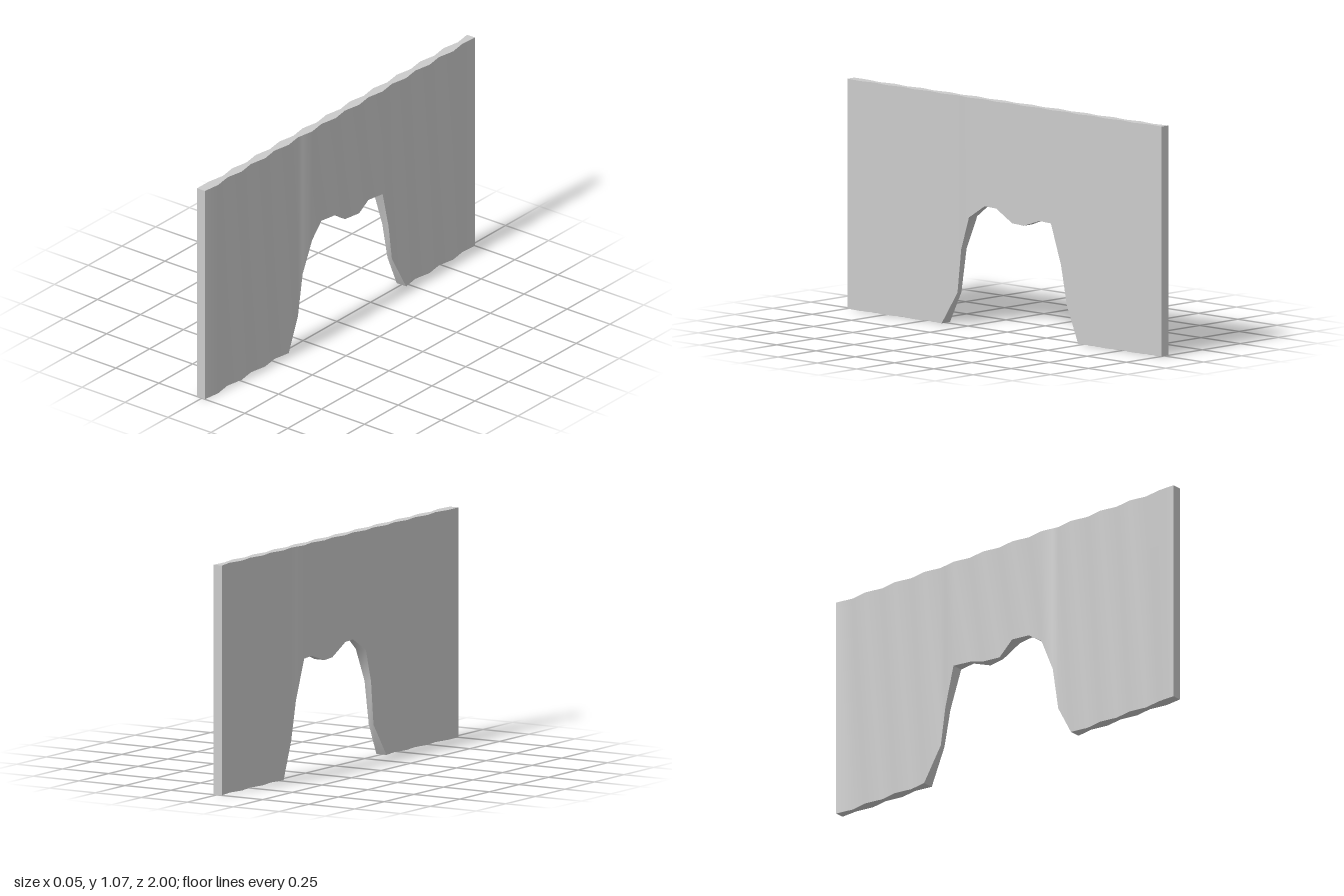
import * as THREE from 'three';
import { toCreasedNormals } from 'three/addons/utils/BufferGeometryUtils.js';

const HEIGHT = 1.065, STEPS = 23;

// Ragged opening: bottom edge height as [z, y], zero outside
const OPENING = [
  [-0.478, 0], [-0.391, 0.17], [-0.36, 0.35], [-0.304, 0.54], [-0.217, 0.54],
  [-0.13, 0.51], [-0.043, 0.51], [0.043, 0.57], [0.13, 0.57], [0.217, 0.51],
  [0.276, 0.355], [0.304, 0.15], [0.391, 0],
];

function bottomAt(z) {
  const hit = OPENING.find(([oz]) => Math.abs(oz - z) < 0.01);
  return hit ? hit[1] : 0;
}

// Left and right faces swell and narrow on alternate columns
function facesAt(k) {
  if (k === 0 || k === STEPS) return [-0.0275, 0.018];
  const swell = Math.abs((k % 2) - 1);
  return [-0.013 - 0.0145 * swell, 0.013 + 0.0145 * swell];
}

function wallGeometry() {
  // Column positions along z, plus two extra ones on the steep jambs
  const ks = Array.from({ length: STEPS + 1 }, (_, k) => k);
  for (const z of [-0.36, 0.276]) ks.push((z + 1) * STEPS / 2);
  ks.sort((a, b) => a - b);

  // Each cross-section is a rectangle: bottom left, bottom right, top right, top left
  const sections = ks.map((k) => {
    const z = -1 + 2 * k / STEPS, y = bottomAt(z), [l, r] = facesAt(k);
    return [[l, y, z], [r, y, z], [r, HEIGHT, z], [l, HEIGHT, z]];
  });

  const pos = [];
  const quad = (a, b, c, d) => pos.push(...a, ...b, ...c, ...a, ...c, ...d);
  for (let s = 0; s < sections.length - 1; s++) {
    const a = sections[s], b = sections[s + 1];
    for (let i = 0; i < 4; i++) {
      const j = (i + 1) % 4;
      quad(a[i], a[j], b[j], b[i]);
    }
  }
  const first = sections[0], last = sections[sections.length - 1];
  quad(first[0], first[3], first[2], first[1]);
  quad(...last);

  const geo = new THREE.BufferGeometry();
  geo.setAttribute('position', new THREE.Float32BufferAttribute(pos, 3));
  return toCreasedNormals(geo, 0.7);
}

export function createModel() {
  const group = new THREE.Group();
  group.name = 'wallWithOpening';
  const wall = new THREE.Mesh(wallGeometry(), new THREE.MeshStandardMaterial({ color: 0xcccccc }));
  wall.name = 'wall';
  group.add(wall);
  return group;
}
